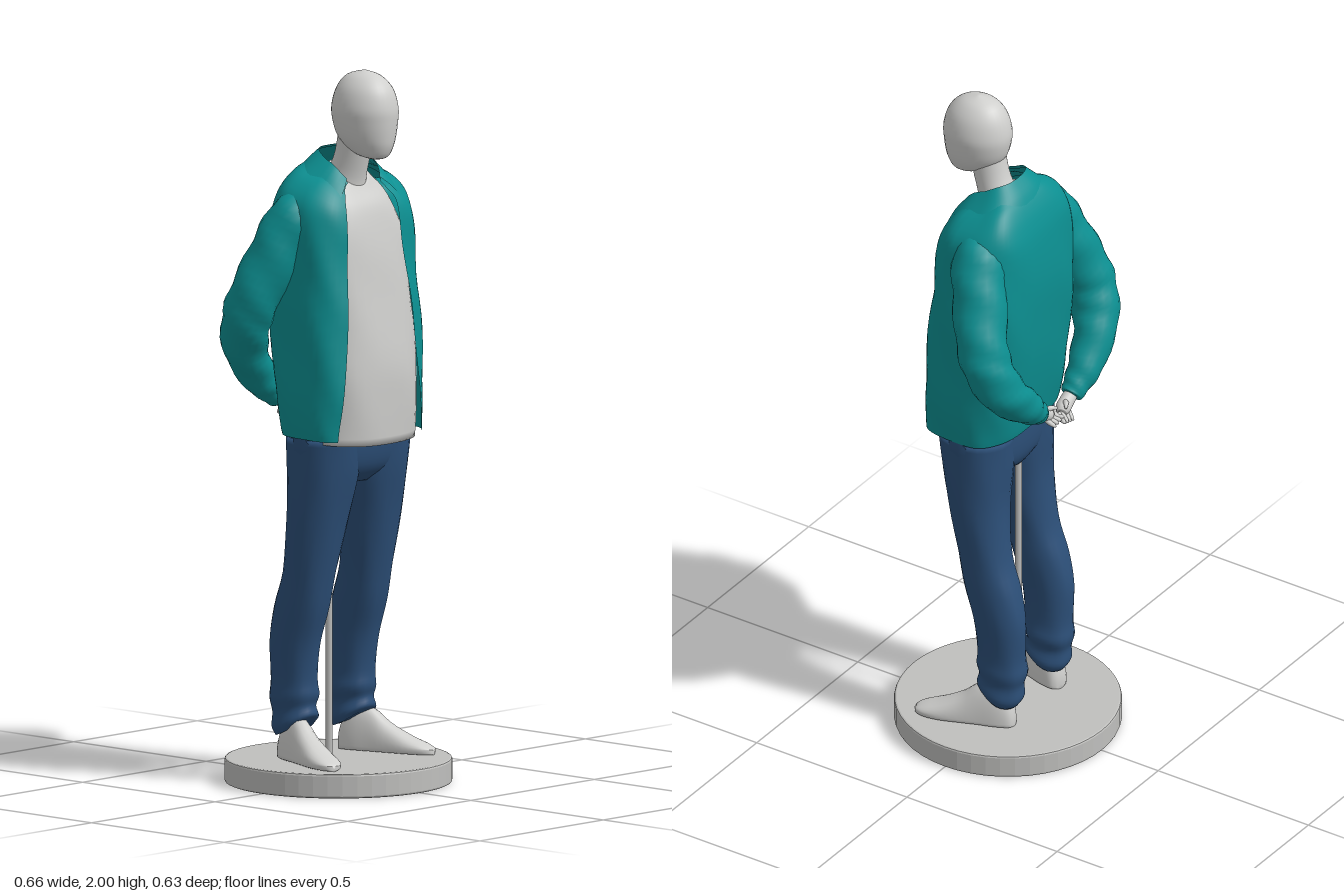
import * as THREE from 'three';

const mat = (name, color, side = THREE.FrontSide) => {
  const m = new THREE.MeshStandardMaterial({ color, side });
  m.name = name;
  return m;
};

// Catmull-Rom blend of rows of numbers, n steps between rows
function smooth(rows, n) {
  const out = [];
  for (let i = 0; i < rows.length - 1; i++) {
    const a = rows[Math.max(i - 1, 0)], b = rows[i], c = rows[i + 1], d = rows[Math.min(i + 2, rows.length - 1)];
    for (let k = 0; k < n; k++) {
      const t = k / n;
      out.push(b.map((v, j) => v + 0.5 * t * (c[j] - a[j] + t * (2 * a[j] - 5 * v + 4 * c[j] - d[j] + t * (3 * (v - c[j]) + d[j] - a[j])))));
    }
  }
  out.push(rows[rows.length - 1]);
  return out;
}

// Skin over rings of points; closed rings also get end caps
function loft(rings, closed = true) {
  const n = rings[0].length, pos = [], idx = [];
  rings.forEach(r => r.forEach(p => pos.push(p.x, p.y, p.z)));
  for (let i = 0; i < rings.length - 1; i++) {
    for (let j = 0; j < (closed ? n : n - 1); j++) {
      const k = (j + 1) % n, a = i * n + j, b = i * n + k;
      idx.push(a, b, b + n, a, b + n, a + n);
    }
  }
  if (closed) {
    [0, rings.length - 1].forEach((i, top) => {
      const c = rings[i].reduce((s, p) => s.add(p), new THREE.Vector3()).divideScalar(n);
      const ci = pos.length / 3;
      pos.push(c.x, c.y, c.z);
      for (let j = 0; j < n; j++) {
        const a = i * n + j, b = i * n + (j + 1) % n;
        idx.push(ci, top ? a : b, top ? b : a);
      }
    });
  }
  const g = new THREE.BufferGeometry();
  g.setAttribute('position', new THREE.Float32BufferAttribute(pos, 3));
  g.setIndex(idx);
  g.computeVertexNormals();
  return g;
}

// Body section [yBack, yFront, xMin, xMax, zFront, zBack, gapLeft, gapRight]; the gap opens the front
function ring([yB, yF, x0, x1, zF, zB, gl = 0, gr = 0], p, n, open, fold) {
  const pw = v => Math.sign(v) * Math.abs(v) ** p;
  const hw = (x1 - x0) / 2, d = (zF - zB) / 2;
  const edge = g => Math.asin(Math.min(0.98, g / hw) ** (1 / p));
  const from = open ? edge(gl) : 0, to = Math.PI * 2 - (open ? edge(gr) : 0);
  return Array.from({ length: n }, (_, j) => {
    const a = from + (to - from) * j / (open ? n - 1 : n);
    const k = 1 + fold * Math.sin(6 * a + yB * 22);
    const t = (1 - Math.cos(a)) / 2;
    return new THREE.Vector3((x0 + x1) / 2 + hw * k * pw(Math.sin(a)),
      yF + (yB - yF) * Math.sin(t * Math.PI / 2), (zF + zB) / 2 + d * k * pw(Math.cos(a)));
  });
}
const body = (rows, { p = 1, n = 32, open = false, fold = 0, steps = 4 } = {}) =>
  loft(smooth(rows, steps).map(r => ring(r, p, n, open, fold)), !open);

// Limb of changing radius along a path of [x, y, z, radius]
function limb(rows, n, fold = 0) {
  const pts = smooth(rows, 5);
  const curve = new THREE.CatmullRomCurve3(rows.map(r => new THREE.Vector3(r[0], r[1], r[2])));
  const f = curve.computeFrenetFrames(pts.length - 1);
  return loft(pts.map(([x, y, z, r], i) => Array.from({ length: n }, (_, j) => {
    const a = j / n * Math.PI * 2, q = r * (1 + fold * Math.sin(i * 1.25 + 2 * a));
    return new THREE.Vector3(x, y, z).addScaledVector(f.normals[i], q * Math.cos(a)).addScaledVector(f.binormals[i], q * Math.sin(a));
  })));
}

export function createModel() {
  const model = new THREE.Group();
  const skin = mat('mannequin grey', 0xd0d0ce);
  const shirtMat = mat('shirt grey', 0xcdcdcb);
  const standMat = mat('stand grey', 0xbfbfbd);
  const denim = mat('denim blue', 0x2c4f78);
  const teal = mat('jacket teal', 0x0c9092, THREE.DoubleSide);
  const add = (name, geo, m, parent = model) => {
    const mesh = new THREE.Mesh(geo, m);
    mesh.name = name;
    parent.add(mesh);
    return mesh;
  };

  // Stand
  const plate = new THREE.Shape();
  plate.absarc(0, 0, 0.309, 0, Math.PI * 2);
  add('standBase', new THREE.ExtrudeGeometry(plate, { depth: 0.056, bevelSize: 0.006, bevelThickness: 0.006, bevelSegments: 2, curveSegments: 24 })
    .rotateX(-Math.PI / 2).translate(0, 0.006, 0), standMat);
  add('standPole', new THREE.CylinderGeometry(0.01, 0.01, 0.9, 12).translate(0, 0.515, -0.035), standMat);

  // Head and neck
  add('head', body([
    [1.755, 1.755, -0.01, 0.01, 0.152, 0.115], [1.768, 1.763, -0.04, 0.04, 0.176, 0.08],
    [1.79, 1.79, -0.058, 0.058, 0.19, 0.042], [1.82, 1.82, -0.072, 0.072, 0.196, 0.015],
    [1.86, 1.86, -0.081, 0.081, 0.2, 0.002], [1.9, 1.9, -0.084, 0.084, 0.2, 0],
    [1.95, 1.95, -0.07, 0.07, 0.185, 0.014], [1.985, 1.985, -0.041, 0.041, 0.15, 0.043],
    [2, 2, -0.005, 0.005, 0.103, 0.093]]), skin);
  add('neck', body([
    [1.64, 1.62, -0.07, 0.07, 0.085, -0.04], [1.71, 1.68, -0.054, 0.054, 0.085, -0.02],
    [1.77, 1.76, -0.048, 0.048, 0.105, 0.004], [1.85, 1.85, -0.05, 0.05, 0.13, 0.02]]), skin);

  // Shirt
  add('shirt', body([
    [0.975, 0.965, -0.178, 0.172, 0.198, -0.065], [1.08, 1.08, -0.18, 0.178, 0.203, -0.075],
    [1.2, 1.2, -0.18, 0.18, 0.2, -0.09], [1.4, 1.39, -0.18, 0.18, 0.172, -0.1],
    [1.55, 1.52, -0.175, 0.175, 0.15, -0.1], [1.66, 1.615, -0.13, 0.13, 0.125, -0.075],
    [1.72, 1.66, -0.078, 0.078, 0.094, -0.035], [1.735, 1.675, -0.06, 0.06, 0.084, -0.022]],
  { p: 0.8, n: 40, fold: 0.008 }), shirtMat);

  // Open jacket with turned-down collar
  add('jacketBody', body([
    [0.985, 0.98, -0.2, 0.195, 0.188, -0.08, 0.158, 0.168], [1.02, 1.02, -0.205, 0.2, 0.188, -0.088, 0.152, 0.166],
    [1.12, 1.12, -0.212, 0.21, 0.187, -0.105, 0.14, 0.155], [1.3, 1.3, -0.212, 0.212, 0.178, -0.125, 0.122, 0.138],
    [1.45, 1.44, -0.21, 0.21, 0.16, -0.132, 0.105, 0.125], [1.6, 1.55, -0.205, 0.205, 0.152, -0.122, 0.094, 0.118],
    [1.67, 1.605, -0.19, 0.19, 0.143, -0.105, 0.09, 0.112], [1.718, 1.635, -0.15, 0.15, 0.132, -0.08, 0.088, 0.102],
    [1.745, 1.65, -0.103, 0.103, 0.122, -0.055, 0.075, 0.085], [1.772, 1.665, -0.08, 0.08, 0.112, -0.032, 0.06, 0.066]],
  { p: 0.6, n: 48, open: true, fold: 0.012 }), teal);
  add('jacketCollar', body([
    [1.712, 1.6, -0.15, 0.15, 0.16, -0.083, 0.125, 0.13], [1.745, 1.645, -0.112, 0.112, 0.14, -0.064, 0.088, 0.094],
    [1.777, 1.672, -0.08, 0.08, 0.115, -0.033, 0.06, 0.066]],
  { p: 0.75, n: 36, open: true }), teal);

  // Pelvis of the jeans
  add('jeansHips', body([
    [0.85, 0.85, -0.07, 0.07, 0.09, -0.045], [0.89, 0.89, -0.17, 0.17, 0.128, -0.065],
    [0.95, 0.95, -0.194, 0.194, 0.145, -0.072], [1.03, 1.03, -0.188, 0.188, 0.15, -0.07]], { p: 0.85 }), denim);

  for (const s of [1, -1]) {
    const side = s > 0 ? 'left' : 'right';

    // Trouser leg: [yBack, yFront, xInner, xOuter, zFront, zBack]
    const leg = [
      [0.135, 0.185, 0.066, 0.166, -0.002, -0.108], [0.16, 0.2, 0.058, 0.174, 0.012, -0.122],
      [0.2, 0.225, 0.066, 0.168, 0.006, -0.122], [0.24, 0.255, 0.056, 0.174, 0.014, -0.132],
      [0.29, 0.3, 0.063, 0.171, 0.012, -0.128], [0.4, 0.4, 0.062, 0.176, 0.025, -0.13],
      [0.5, 0.5, 0.055, 0.18, 0.053, -0.11], [0.6, 0.6, 0.048, 0.182, 0.073, -0.078],
      [0.75, 0.75, 0.024, 0.191, 0.103, -0.06], [0.88, 0.88, 0.001, 0.194, 0.132, -0.066],
      [0.98, 0.98, 0.001, 0.193, 0.146, -0.07]]
      .map(([a, b, i, o, f, k]) => s > 0 ? [a, b, i, o, f, k] : [a, b, -o, -i, f, k]);
    add(side + 'TrouserLeg', body(leg, { p: 0.9, n: 24, fold: 0.012 }), denim);

    // Shoe from slices along its length: [along, half width, top]
    const shoe = smooth([[0, 0.012, 0.1], [0.012, 0.03, 0.15], [0.05, 0.038, 0.195], [0.1, 0.039, 0.19],
      [0.15, 0.042, 0.15], [0.21, 0.045, 0.118], [0.255, 0.038, 0.1], [0.28, 0.022, 0.088], [0.287, 0.006, 0.077]], 3)
      .map(([l, w, top]) => Array.from({ length: 20 }, (_, j) => {
        const a = j / 20 * Math.PI * 2, v = Math.sin(a), c = Math.cos(a);
        return new THREE.Vector3(w * Math.sign(c) * Math.abs(c) ** 0.8, v > 0 ? 0.083 + (top - 0.083) * v : 0.083 + 0.015 * Math.sign(v) * Math.abs(v) ** 0.4, l);
      }));
    const foot = add(side + 'Shoe', loft(shoe), skin);
    foot.position.set(s * 0.112, 0, -0.1);
    foot.rotation.y = s * 0.32;

    // Sleeve bent behind the back
    const lift = s * 0.012;
    add(side + 'Sleeve', limb([
      [s * 0.11, 1.64, 0.005, 0.045], [s * 0.16, 1.595, -0.012, 0.073], [s * 0.203, 1.5, -0.042, 0.076],
      [s * 0.25, 1.38, -0.082, 0.072], [s * 0.255, 1.3, -0.112, 0.07], [s * 0.22, 1.215, -0.145, 0.063],
      [s * 0.15, 1.14 + lift, -0.158, 0.05], [s * 0.105, 1.1 + lift, -0.157, 0.038], [s * 0.08, 1.08 + lift, -0.156, 0.031]],
    22, 0.045), teal);

    // Hand resting behind the back
    const hand = new THREE.Group();
    hand.name = side + 'Hand';
    model.add(hand);
    const y = 1.062 + lift;
    add('palm', limb([[s * 0.09, y + 0.022, -0.154, 0.019], [s * 0.062, y + 0.006, -0.154, 0.021],
      [s * 0.04, y - 0.006, -0.156, 0.021], [s * 0.027, y - 0.012, -0.16, 0.015]], 12), skin, hand);
    for (let i = 0; i < 4; i++) {
      const fx = s * (0.055 - i * 0.013);
      add('finger', limb([[fx, y - 0.008, -0.155, 0.008], [fx - s * 0.004, y - 0.022, -0.17, 0.0075],
        [fx - s * 0.01, y - 0.032 + i * 0.003, -0.182, 0.006], [fx - s * 0.012, y - 0.034 + i * 0.003, -0.19, 0.002]], 8), skin, hand);
    }
    add('thumb', limb([[s * 0.06, y, -0.145, 0.009], [s * 0.04, y + 0.016, -0.166, 0.008],
      [s * 0.022, y + 0.012, -0.178, 0.004]], 8), skin, hand);
  }
  return model;
}
